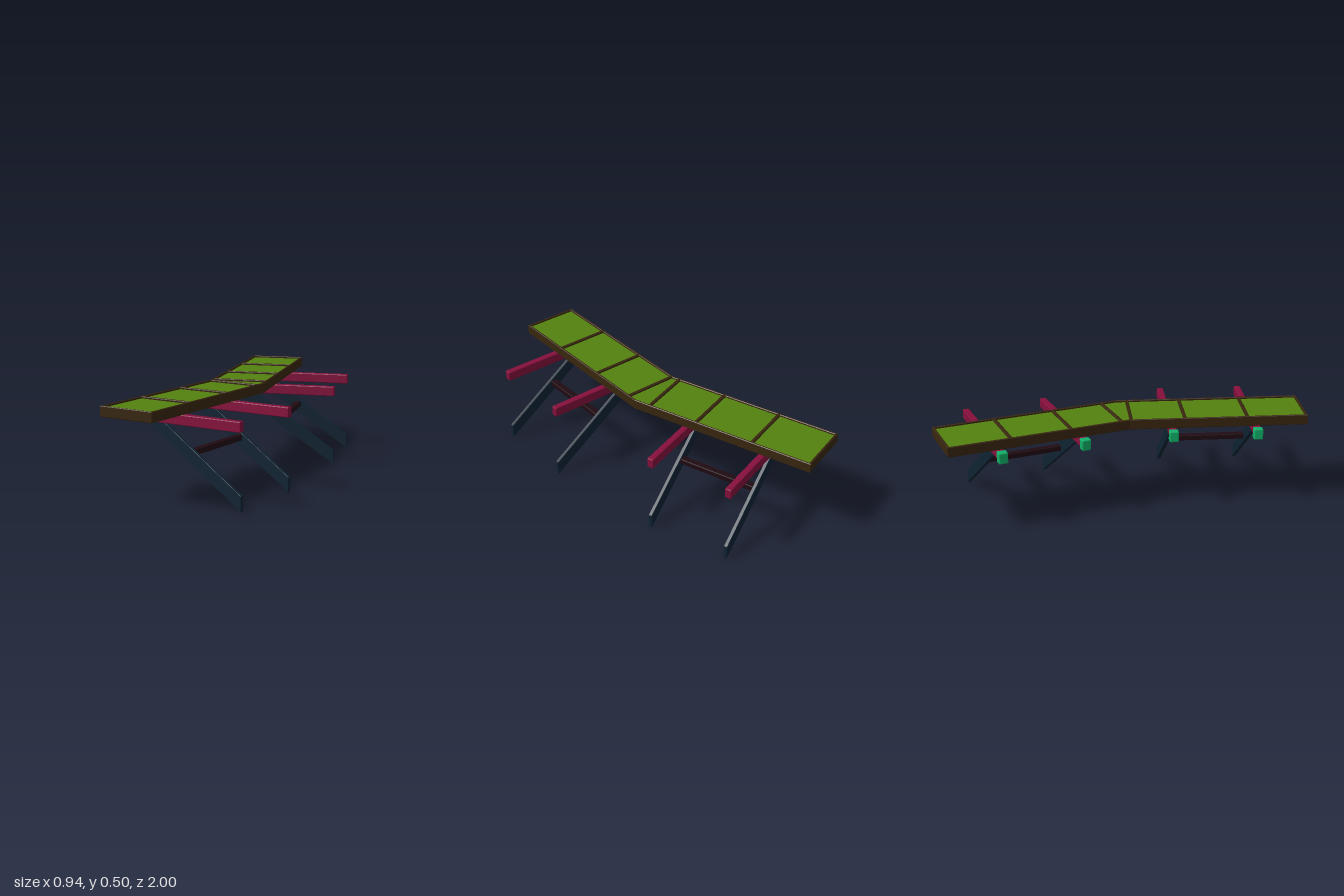
import * as THREE from 'three';
import { RoundedBoxGeometry } from 'three/addons/geometries/RoundedBoxGeometry.js';

const ANGLE = THREE.MathUtils.degToRad(18.2);
const LEFT = -0.1725, WIDTH = 0.31, BEND_Z = -0.01; // deck edge and bend corner
const RIM = 0.012;

const mat = (color) => new THREE.MeshStandardMaterial({ color, flatShading: true });
const colors = {
  frame: mat(0x38260e), panel: mat(0x52820f), beam: mat(0x860f3c),
  cap: mat(0x10b068), leg: mat(0x0f2333), strut: mat(0x200a12),
};

function add(parent, name, geometry, material, x = 0, y = 0, z = 0) {
  const mesh = new THREE.Mesh(geometry, material);
  mesh.name = name;
  mesh.position.set(x, y, z);
  parent.add(mesh);
  return mesh;
}

// Plan points [x, z] on the straight half and the turned half
const straight = (u, z) => new THREE.Vector2(LEFT + u, z);
const turned = (u, s) => new THREE.Vector2(
  LEFT + u * Math.cos(ANGLE) - s * Math.sin(ANGLE),
  BEND_Z + u * Math.sin(ANGLE) + s * Math.cos(ANGLE));

const quad = (place, a, b) => [
  place(RIM, a), place(WIDTH - RIM, a), place(WIDTH - RIM, b), place(RIM, b)];

// Horizontal slab from a plan outline, extruded downwards
function slab(shape, depth, bevel) {
  const geometry = new THREE.ExtrudeGeometry(shape, {
    depth: depth - 2 * bevel, bevelEnabled: bevel > 0, bevelThickness: bevel,
    bevelSize: bevel, bevelOffset: -bevel, bevelSegments: 1,
  });
  return geometry.translate(0, 0, bevel).rotateX(Math.PI / 2);
}

function makeDeck() {
  const deck = new THREE.Group();
  deck.name = 'deck';
  const miter = WIDTH * Math.tan(ANGLE / 2);
  const outline = new THREE.Shape([
    straight(0, -1), straight(WIDTH, -1), straight(WIDTH, BEND_Z + miter),
    turned(WIDTH, 0.957), turned(0, 0.957), straight(0, BEND_Z)]);

  const panels = [
    quad(straight, -0.988, -0.674),
    quad(straight, -0.656, -0.344),
    quad(straight, -0.326, -0.06),
    // Wedge at the bend
    [straight(RIM, -0.042), straight(WIDTH - RIM, -0.042),
      turned(WIDTH - RIM, -0.047), turned(WIDTH - RIM, 0), turned(RIM, 0)],
    quad(turned, 0.018, 0.288),
    quad(turned, 0.306, 0.623),
    quad(turned, 0.641, 0.945),
  ];
  outline.holes = panels.map((points) => new THREE.Path(points));

  add(deck, 'deckFrame', slab(outline, 0.055, 0.003), colors.frame, 0, 0.5, 0);
  panels.forEach((points, i) =>
    add(deck, `panel${i + 1}`, slab(new THREE.Shape(points), 0.02, 0), colors.panel, 0, 0.49, 0));
  return deck;
}

// Two cross beams with end caps, slanted legs and a joining strut
function makeTrestle(name, x, z, angle) {
  const trestle = new THREE.Group();
  trestle.name = name;
  trestle.position.set(x, 0, z);
  trestle.rotation.y = -angle;

  const legShape = new THREE.Shape([
    new THREE.Vector2(0.67, 0), new THREE.Vector2(0.67, 0.08),
    new THREE.Vector2(0.213, 0.4), new THREE.Vector2(0.099, 0.4)]);
  const legGeometry = new THREE.ExtrudeGeometry(legShape, {
    depth: 0.016, bevelThickness: 0.002, bevelSize: 0.002, bevelOffset: -0.002, bevelSegments: 1,
  }).translate(0, 0, -0.008);
  const beamGeometry = new RoundedBoxGeometry(0.65, 0.054, 0.036, 1, 0.005);
  const capGeometry = new RoundedBoxGeometry(0.045, 0.06, 0.05, 1, 0.006);

  for (const side of [-1, 1]) {
    const offset = side * 0.226;
    add(trestle, 'crossBeam', beamGeometry, colors.beam, 0.345, 0.418, offset);
    add(trestle, 'beamCap', capGeometry, colors.cap, 0, 0.415, offset);
    add(trestle, 'leg', legGeometry, colors.leg, 0, 0, offset);
  }
  add(trestle, 'strut', new RoundedBoxGeometry(0.038, 0.03, 0.44, 1, 0.004),
    colors.strut, 0.37, 0.256, 0);
  return trestle;
}

export function createModel() {
  const model = new THREE.Group();
  model.name = 'bentWalkway';
  model.add(
    makeDeck(),
    makeTrestle('rearTrestle', -0.2, -0.5, 0),
    makeTrestle('frontTrestle', -0.345, 0.415, ANGLE));
  return model;
}
